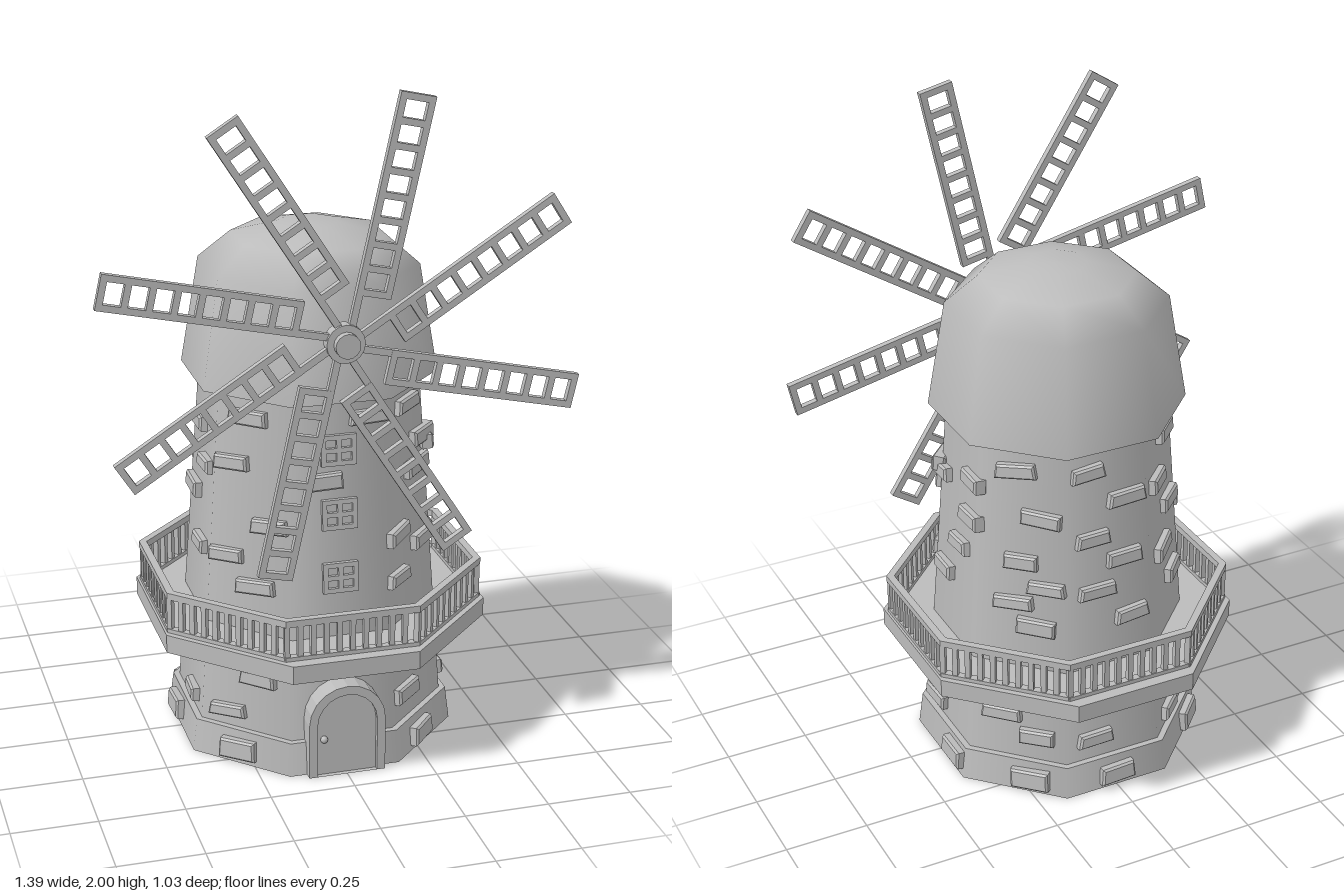
import * as THREE from 'three';

const stone = new THREE.MeshStandardMaterial({ color: 0xbcbcbc });
stone.name = 'plain grey';

const C8 = Math.cos(Math.PI / 8), T8 = Math.tan(Math.PI / 8);

function add(parent, name, geo, x = 0, y = 0, z = 0) {
  const m = new THREE.Mesh(geo, stone);
  m.name = name;
  m.position.set(x, y, z);
  parent.add(m);
  return m;
}

// Eight-sided tapered drum, sized by the distance from axis to face
const drum = (top, bottom, h) =>
  new THREE.CylinderGeometry(top / C8, bottom / C8, h, 8, 1, false, Math.PI / 8);

// Octagon outline with chamfered corners, half sizes a (x) and b (z)
function octagon(a, b, c) {
  return [[a, c - (a - b)], [c, b], [-c, b], [-a, c - (a - b)], [-a, -c + (a - b)], [-c, -b], [c, -b], [a, -c + (a - b)]]
    .map(([x, y]) => new THREE.Vector2(x, y));
}

function slab(outer, inner, depth) {
  const s = new THREE.Shape(outer);
  if (inner) s.holes.push(new THREE.Path(inner));
  return new THREE.ExtrudeGeometry(s, { depth, bevelEnabled: false }).rotateX(-Math.PI / 2);
}

const rect = (x0, y0, x1, y1) =>
  [[x0, y0], [x1, y0], [x1, y1], [x0, y1]].map(([x, y]) => new THREE.Vector2(x, y));

// Flat frame with a grid of rectangular openings
function lattice(x0, y0, w, h, cols, rows, bar, depth) {
  const s = new THREE.Shape(rect(x0, y0, x0 + w, y0 + h));
  const cw = (w - bar) / cols, ch = (h - bar) / rows;
  for (let i = 0; i < cols; i++) for (let j = 0; j < rows; j++) {
    const x = x0 + bar + i * cw, y = y0 + bar + j * ch;
    s.holes.push(new THREE.Path(rect(x, y, x + cw - bar, y + ch - bar)));
  }
  return new THREE.ExtrudeGeometry(s, { depth, bevelEnabled: false });
}

// Arched outline for the door and its surround
function arch(w, h) {
  const s = new THREE.Shape();
  s.moveTo(-w, 0);
  s.lineTo(w, 0);
  s.lineTo(w, h - w);
  s.absarc(0, h - w, w, 0, Math.PI, false);
  s.lineTo(-w, 0);
  return s;
}

// Distance from axis to wall face at height y
const wall = y => (y < 0.1 ? 0.4 - 0.12 * y : 0.37 - 0.069 * (y - 0.1));

// Raised stones on each wall face: [offset along face, height], starting at the front, going to +x
const STONES = [
  [[-0.04, 0.88], [0.09, 1.06]],
  [[0.02, 1.05], [0.1, 0.93], [0.06, 0.85], [-0.07, 0.68], [-0.08, 0.55], [0.07, 0.62], [-0.07, 0.185], [0.07, 0.28], [-0.03, 0.045]],
  [[0.09, 0.97], [-0.11, 0.91], [0.09, 0.85], [0.03, 0.735], [-0.06, 0.61], [0.03, 0.3], [-0.07, 0.15], [0.1, 0.055]],
  [[-0.02, 1.04], [0.06, 0.9], [0.0, 0.755], [0.08, 0.68], [-0.02, 0.62], [0.05, 0.55], [-0.05, 0.245], [0.06, 0.18], [0.05, 0.045]],
  [[-0.06, 1.04], [0.06, 0.94], [-0.05, 0.83], [0.05, 0.75], [-0.04, 0.66], [0.07, 0.56], [0.03, 0.27], [-0.06, 0.17], [0.0, 0.045]],
  [[0.04, 1.05], [-0.05, 0.93], [0.05, 0.82], [-0.03, 0.7], [0.05, 0.58], [0.02, 0.26], [-0.05, 0.15], [0.07, 0.05]],
  [[-0.03, 0.97], [0.06, 0.87], [-0.06, 0.76], [0.05, 0.62], [-0.05, 0.3], [0.06, 0.15], [-0.05, 0.05]],
  [[-0.02, 1.05], [-0.07, 0.91], [0.06, 0.74], [0.02, 0.55], [-0.08, 0.63], [0.04, 0.27], [-0.06, 0.15], [-0.01, 0.045]],
];

function createStones() {
  const g = new THREE.Group();
  g.name = 'wallStones';
  let seed = 7;
  const rnd = () => (seed = (seed * 16807) % 2147483647) / 2147483647;
  STONES.forEach((list, k) => {
    const face = new THREE.Group();
    face.name = 'stoneFace';
    face.rotation.y = k * Math.PI / 4;
    g.add(face);
    for (const [u, y] of list) {
      const w = 0.045 + rnd() * 0.012, h = (y < 0.08 ? 0.023 : 0.015) + rnd() * 0.004, d = rnd() * 0.006;
      const s = new THREE.Shape([[-w, -h], [w, -h + d], [w - d, h], [-w + d, h - d]].map(p => new THREE.Vector2(...p)));
      const geo = new THREE.ExtrudeGeometry(s, {
        depth: 0.03, bevelThickness: 0.006, bevelSize: 0.006, bevelSegments: 1 });
      const m = add(face, 'stone', geo, u, y, wall(y) - 0.012);
      m.rotation.set(-0.07, (rnd() - 0.5) * 0.1, (rnd() - 0.5) * 0.1);
    }
  });
  return g;
}

function createBalcony() {
  const g = new THREE.Group();
  g.name = 'balcony';
  add(g, 'platform', slab(octagon(0.485, 0.513, 0.187), null, 0.055), 0, 0.355);
  const outer = octagon(0.478, 0.478, 0.198), inner = octagon(0.456, 0.456, 0.189);
  add(g, 'bottomRail', slab(outer, inner, 0.012), 0, 0.41);
  add(g, 'topRail', slab(outer, inner, 0.02), 0, 0.515);
  const half = 0.467 * T8, n = 10, post = new THREE.BoxGeometry(0.016, 0.105, 0.016);
  for (let k = 0; k < 8; k++) {
    const side = new THREE.Group();
    side.name = 'railingSide';
    side.rotation.y = k * Math.PI / 4;
    for (let i = 0; i < n; i++) add(side, 'baluster', post, -half + (i / n) * 2 * half, 0.465, 0.467);
    g.add(side);
  }
  return g;
}

function createSails() {
  const g = new THREE.Group();
  g.name = 'sails';
  g.position.set(0, 1.305, 0.37);
  const frame = lattice(0, 0.14, 0.102, 0.57, 1, 8, 0.019, 0.02).translate(0, 0, -0.01);
  const arm = new THREE.BoxGeometry(0.02, 0.15, 0.018);
  for (let k = 0; k < 8; k++) {
    const sail = new THREE.Group();
    sail.name = 'sail';
    sail.rotation.z = -(12.4 + 45 * k) * Math.PI / 180;
    add(sail, 'sailFrame', frame);
    add(sail, 'sailArm', arm, 0.01, 0.075, 0);
    g.add(sail);
  }
  // Axle, hub disc and nose
  const disc = (r, d) => new THREE.CylinderGeometry(r, r, d, 16).rotateX(Math.PI / 2);
  add(g, 'axle', disc(0.035, 0.12), 0, 0, -0.05);
  add(g, 'hub', disc(0.056, 0.036));
  add(g, 'hubNose', disc(0.036, 0.03), 0, 0, 0.025);
  return g;
}

function createDoor() {
  const g = new THREE.Group();
  g.name = 'door';
  const surround = arch(0.115, 0.282);
  surround.holes.push(arch(0.09, 0.255));
  const opts = { bevelEnabled: false, curveSegments: 5 };
  add(g, 'doorSurround', new THREE.ExtrudeGeometry(surround, { ...opts, depth: 0.09 }), 0, 0, 0.335);
  add(g, 'doorPanel', new THREE.ExtrudeGeometry(arch(0.092, 0.257), { ...opts, depth: 0.07 }), 0, 0, 0.34);
  add(g, 'doorKnob', new THREE.SphereGeometry(0.011, 10, 8), -0.068, 0.115, 0.415);
  return g;
}

export function createModel() {
  const model = new THREE.Group();
  model.name = 'windmill';

  // Tower and plinth
  add(model, 'plinth', drum(0.388, 0.4, 0.1), 0, 0.05);
  add(model, 'tower', drum(wall(1.13), wall(0.1), 1.03), 0, 0.615);

  // Domed cap with a closed underside
  const profile = [[0.348, 1.12], [0.298, 1.44], [0.21, 1.52], [0.08, 1.555], [0, 1.557]]
    .map(([a, y]) => new THREE.Vector2(a / C8, y));
  add(model, 'cap', new THREE.LatheGeometry(profile, 8, Math.PI / 8));
  add(model, 'capUnderside',
    new THREE.CircleGeometry(0.348 / C8, 8, Math.PI / 8).rotateX(Math.PI / 2), 0, 1.12);

  // Windows above the door
  for (const y of [0.59, 0.78, 0.97]) {
    const win = new THREE.Group();
    win.name = 'window';
    win.position.set(0, y, wall(y));
    win.rotation.x = -0.069;
    add(win, 'windowFrame', lattice(-0.052, -0.045, 0.104, 0.09, 2, 2, 0.014, 0.014));
    add(win, 'windowPane', new THREE.BoxGeometry(0.1, 0.086, 0.006));
    model.add(win);
  }

  model.add(createDoor(), createBalcony(), createStones(), createSails());
  return model;
}
